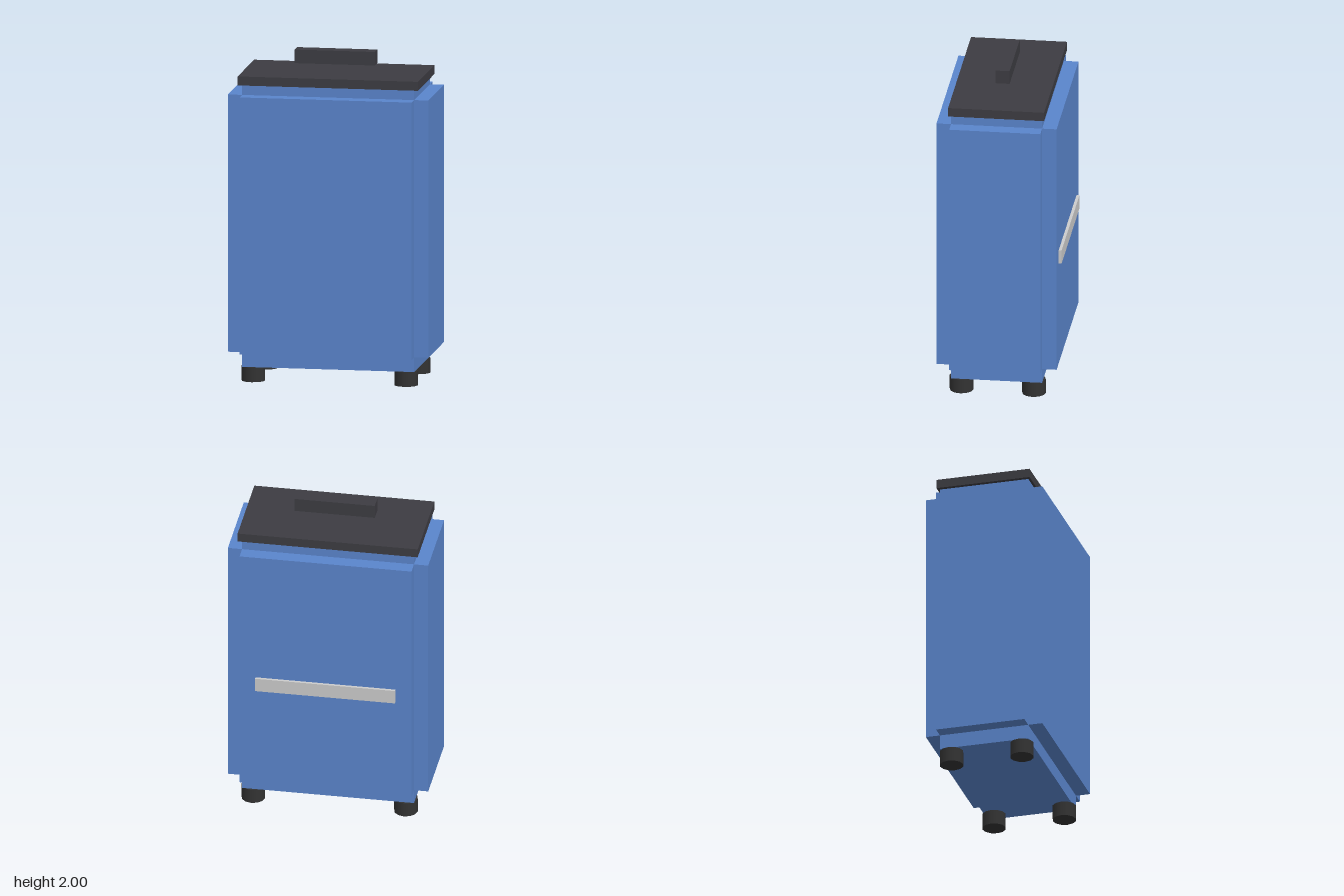
import * as THREE from 'three';

const blue = new THREE.MeshStandardMaterial({ color: 0x5a85cc });
const dark = new THREE.MeshStandardMaterial({ color: 0x3d3c42 });
const rubber = new THREE.MeshStandardMaterial({ color: 0x333333 });
const grey = new THREE.MeshStandardMaterial({ color: 0xcccccc });

export function createModel() {
  const model = new THREE.Group();
  const body = new THREE.Group();
  body.position.z = 0.008; // the back strip shifts the case slightly forward
  model.add(body);

  // Box centred on x, resting at height y0
  function box(name, material, w, y0, y1, d, x = 0, z = 0) {
    const mesh = new THREE.Mesh(new THREE.BoxGeometry(w, y1 - y0, d), material);
    mesh.name = name;
    mesh.position.set(x, (y0 + y1) / 2, z);
    body.add(mesh);
  }

  // Case core
  box('caseCore', blue, 1.052, 0.09, 1.815, 0.553);

  // Raised panels on all four sides
  for (const s of [1, -1]) {
    box(s > 0 ? 'frontPanel' : 'backPanel', blue, 1.052, 0.18, 1.755, 0.0885, 0, s * 0.3205);
    box(s > 0 ? 'leftPanel' : 'rightPanel', blue, 0.087, 0.18, 1.755, 0.553, s * 0.5695, 0);
  }

  // Lid and the carrying bar above it
  box('lid', dark, 1.102, 1.815, 1.87, 0.583);
  box('handleBar', dark, 0.49, 1.917, 2, 0.087);

  // Strip across the back
  box('backStrip', grey, 0.856, 0.836, 0.922, 0.018, 0, -0.374);

  // Feet
  const footGeometry = new THREE.CylinderGeometry(0.072, 0.072, 0.09, 12);
  for (const sx of [1, -1]) {
    for (const sz of [1, -1]) {
      const foot = new THREE.Mesh(footGeometry, rubber);
      foot.name = (sz > 0 ? 'front' : 'back') + (sx > 0 ? 'Left' : 'Right') + 'Foot';
      foot.position.set(sx * 0.467, 0.045, sz * 0.22);
      body.add(foot);
    }
  }
  return model;
}
